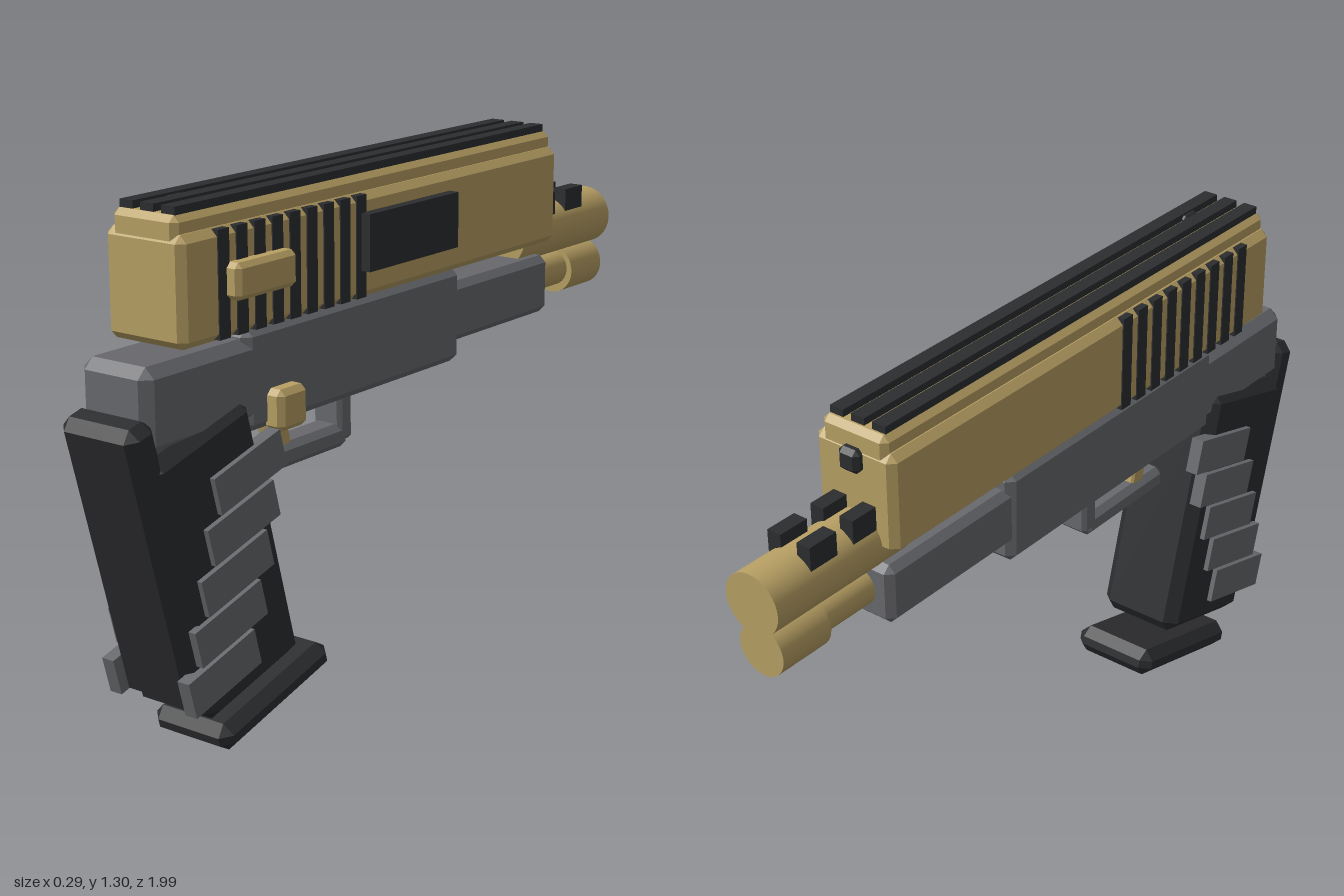
import * as THREE from 'three';
import { ConvexGeometry } from 'three/addons/geometries/ConvexGeometry.js';

const material = (color) => new THREE.MeshStandardMaterial({ color, flatShading: true });
const gold = material(0xb8a064);
const grey = material(0x68696d);
const dark = material(0x2c2d2f);
const goldSmooth = new THREE.MeshStandardMaterial({ color: 0xb8a064 });

// Box with every edge and corner cut off by the chamfer c
function chamferBox(w, h, d, c) {
  const points = [];
  for (const sx of [-1, 1]) for (const sy of [-1, 1]) for (const sz of [-1, 1]) {
    const x = w / 2, y = h / 2, z = d / 2;
    points.push(
      new THREE.Vector3(sx * x, sy * (y - c), sz * (z - c)),
      new THREE.Vector3(sx * (x - c), sy * y, sz * (z - c)),
      new THREE.Vector3(sx * (x - c), sy * (y - c), sz * z));
  }
  return new ConvexGeometry(points);
}

export function createModel() {
  const model = new THREE.Group();
  const body = new THREE.Group();
  body.name = 'body';
  body.position.x = -0.0125;
  model.add(body);

  function add(parent, name, geometry, mat, x, y, z) {
    const mesh = new THREE.Mesh(geometry, mat);
    mesh.name = name;
    mesh.position.set(x, y, z);
    parent.add(mesh);
    return mesh;
  }
  // Block given by its centre x, width, and its y and z ranges
  function block(name, mat, x, w, y0, y1, z0, z1, c = 0) {
    const h = y1 - y0, d = z1 - z0;
    const geometry = c ? chamferBox(w, h, d, c) : new THREE.BoxGeometry(w, h, d);
    return add(body, name, geometry, mat, x, (y0 + y1) / 2, (z0 + z1) / 2);
  }
  function tube(name, r, y, z0, z1) {
    const geometry = new THREE.CylinderGeometry(r, r, z1 - z0, 32).rotateX(Math.PI / 2);
    add(body, name, geometry, goldSmooth, 0, y, (z0 + z1) / 2);
  }

  // Slide with a stepped top
  block('slide', gold, 0, 0.23, 1.0, 1.254, -0.666, 0.826, 0.018);
  block('slideTop', gold, 0, 0.188, 1.22, 1.295, -0.664, 0.822, 0.015);
  for (const x of [-0.061, 0, 0.061]) {
    block('topRail', dark, x, 0.038, 1.27, 1.313, -0.644, 0.805);
  }
  for (let i = 0; i < 9; i++) {
    const z = 0.69 - i * 0.062;
    block('serration', dark, 0, 0.236, 1.004, 1.252, z - 0.0185, z + 0.0185);
  }
  block('ejectionPlate', dark, 0.118, 0.05, 1.07, 1.209, -0.168, 0.195);
  block('slideHandle', gold, 0.125, 0.055, 1.09, 1.175, 0.473, 0.682, 0.012);
  block('frontNub', dark, 0, 0.06, 1.187, 1.247, -0.687, -0.64, 0.012);
  for (const x of [-0.043, 0.043]) {
    block('rearSight', dark, x, 0.03, 1.27, 1.308, 0.645, 0.7, 0.008);
  }

  // Barrel, lower tube and barrel blocks
  tube('barrel', 0.077, 1.01, -1.0, -0.57);
  tube('lowerTube', 0.049, 0.885, -0.85, -0.6);
  tube('lowerTubeCap', 0.065, 0.88, -0.982, -0.83);
  for (const x of [-0.043, 0.043]) for (const z of [-0.7, -0.836]) {
    block('barrelBlock', dark, x, 0.038, 1.05, 1.115, z - 0.042, z + 0.042);
  }

  // Frame in three lengths
  block('frame', grey, 0, 0.206, 0.757, 1.003, -0.243, 0.6, 0.02);
  block('frameRear', grey, 0, 0.206, 0.78, 0.98, 0.5, 0.933, 0.025);
  block('frameFront', grey, 0, 0.19, 0.805, 0.96, -0.666, -0.2, 0.018);

  // Trigger, guard and release button
  block('triggerGuard', grey, 0, 0.085, 0.612, 0.674, 0.147, 0.479, 0.016);
  block('guardPost', grey, 0, 0.085, 0.63, 0.78, 0.131, 0.184, 0.01);
  block('trigger', gold, 0, 0.06, 0.66, 0.8, 0.37, 0.42, 0.006).rotation.x = 0.26;
  block('releaseButton', gold, 0.115, 0.06, 0.752, 0.852, 0.43, 0.532, 0.014);

  // Slanted grip
  const grip = new THREE.Group();
  grip.name = 'grip';
  grip.position.set(0, 0.478, 0.682);
  grip.rotation.x = 0.262;
  body.add(grip);
  add(grip, 'gripBody', chamferBox(0.24, 0.695, 0.35, 0.03), dark, 0, 0, 0);
  add(grip, 'backstrap', chamferBox(0.226, 0.735, 0.09, 0.025), dark, 0, 0.075, 0.166);
  add(grip, 'floorPlate', chamferBox(0.24, 0.074, 0.41, 0.026), dark, 0, -0.418, -0.0615);
  for (const side of [-1, 1]) for (let i = 0; i < 5; i++) {
    add(grip, 'gripPanel', new THREE.BoxGeometry(0.035, 0.094, 0.238), grey,
      side * 0.116, 0.185 - i * 0.104, -0.106 + i * 0.054);
  }
  return model;
}
